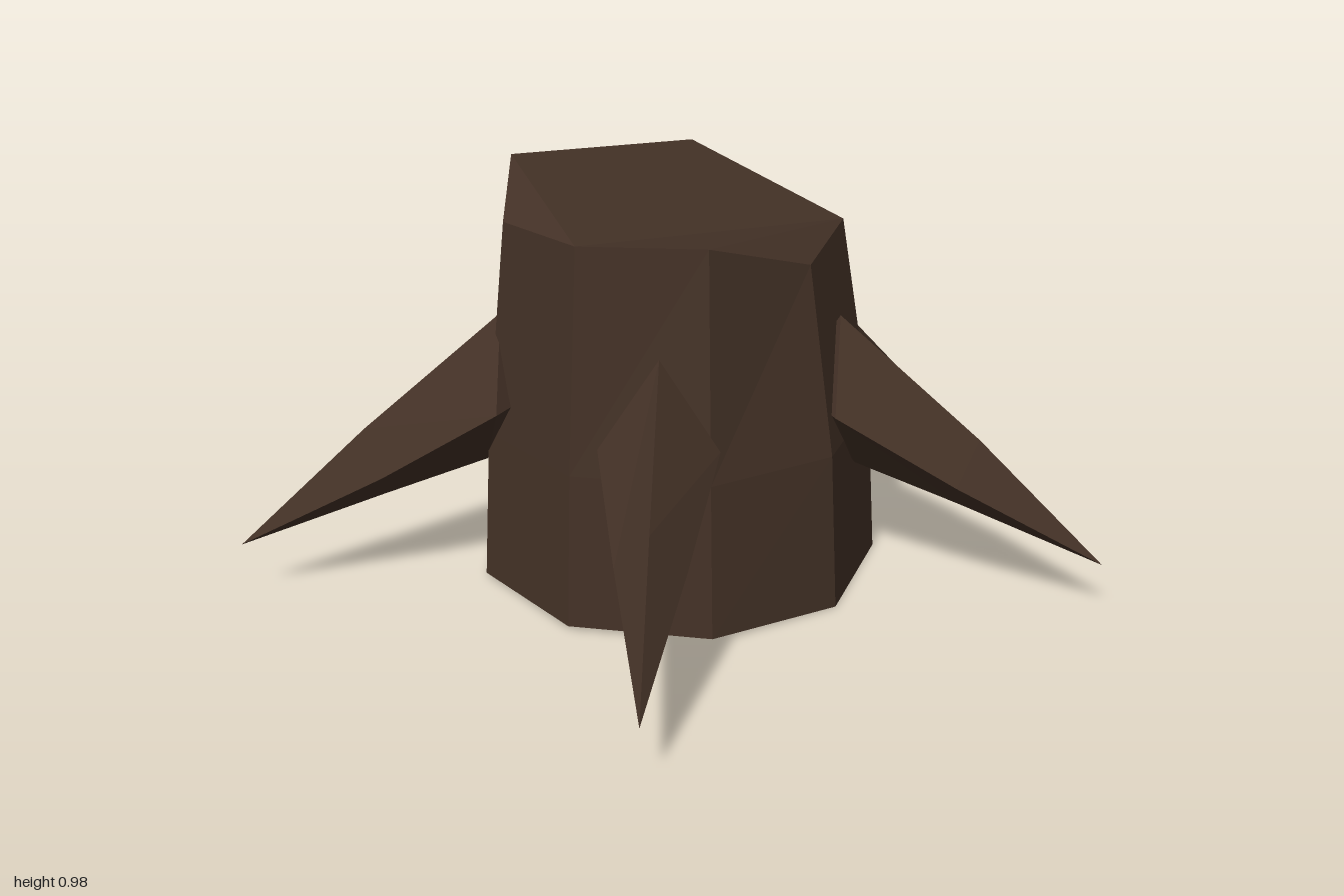
import * as THREE from 'three';

const bark = new THREE.MeshStandardMaterial({ color: 0x433126, flatShading: true });
bark.name = 'dark bark';

function meshFrom(name, points, faces) {
  const geo = new THREE.BufferGeometry();
  geo.setAttribute('position', new THREE.Float32BufferAttribute(points.flat(), 3));
  geo.setIndex(faces.flat());
  const flat = geo.toNonIndexed();
  flat.computeVertexNormals();
  const mesh = new THREE.Mesh(flat, bark);
  mesh.name = name;
  return mesh;
}

// Side triangles between stacked rings of n points (rings run counterclockwise seen from the far end)
function bridge(n, rings) {
  const faces = [];
  for (let r = 0; r < rings - 1; r++) {
    for (let i = 0; i < n; i++) {
      const a = r * n + i, b = r * n + (i + 1) % n;
      faces.push([a, b, b + n], [a, b + n, a + n]);
    }
  }
  return faces;
}

// Nine-sided stump with a jagged cut top
function makeTrunk() {
  const n = 9;
  const ring = (radius, y) => Array.from({ length: n }, (_, i) => {
    const a = THREE.MathUtils.degToRad(82 - 40 * i);
    return [radius * Math.cos(a), y, 0.09 + radius * Math.sin(a)];
  });
  const rim = [
    [0.06, 0.905, 0.51], [0.30, 0.905, 0.35], [0.385, 0.82, 0.09],
    [0.30, 0.85, -0.165], [0.06, 0.80, -0.30], [-0.22, 0.94, -0.25],
    [-0.40, 0.745, -0.06], [-0.39, 0.975, 0.23], [-0.22, 0.89, 0.44],
  ];
  const bottom = ring(0.49, 0.01);
  bottom[2][1] = bottom[3][1] = 0;
  const points = [...bottom, ...ring(0.468, 0.38), ...rim];
  const faces = bridge(n, 3);
  // Cut top: sloping chips around a central facet
  const cap = [[3, 4, 5], [5, 6, 7], [7, 8, 0], [1, 2, 3], [0, 1, 3], [0, 3, 5], [0, 5, 7]];
  cap.forEach((t) => faces.push(t.map((i) => i + 2 * n)));
  // Underside
  for (let i = 1; i < n - 1; i++) faces.push([0, i + 1, i]);
  return meshFrom('trunk', points, faces);
}

// Diamond-section root tapering from the trunk to a low tip
function makeRoot(name, [tx, tz], [bx, bz]) {
  const dir = new THREE.Vector2(tx - bx, tz - bz);
  const len = dir.length();
  dir.normalize();
  // along = horizontal distance from the base, side = sideways offset
  const at = (along, y, side) => [
    bx + dir.x * along + dir.y * side, y, bz + dir.y * along - dir.x * side,
  ];
  const section = (top, mid, low, w) => [
    at(top[0], top[1], 0), at(mid[0], mid[1], -w), at(low[0], low[1], 0), at(mid[0], mid[1], w),
  ];
  const points = [
    ...section([-0.035, 0.665], [0, 0.465], [0.01, 0.30], 0.135),
    ...section([len - 0.30, 0.405], [len - 0.33, 0.31], [len - 0.34, 0.235], 0.078),
    at(len, 0.14, 0),
    at(-0.15, 0.48, 0),
  ];
  const faces = bridge(4, 2);
  for (let i = 0; i < 4; i++) {
    const j = (i + 1) % 4;
    faces.push([4 + i, 4 + j, 8], [j, i, 9]);
  }
  return meshFrom(name, points, faces);
}

export function createModel() {
  const model = new THREE.Group();
  model.name = 'tree stump';
  model.add(makeTrunk());
  const roots = [
    ['backRoot', [0.005, -0.95], [0, -0.37]],
    ['leftRoot', [1, -0.22], [0.42, -0.045]],
    ['rightRoot', [-1, -0.25], [-0.425, -0.05]],
    ['frontLeftRoot', [0.595, 0.95], [0.255, 0.47]],
    ['frontRightRoot', [-0.635, 0.93], [-0.265, 0.465]],
  ];
  roots.forEach((r) => model.add(makeRoot(...r)));
  return model;
}
